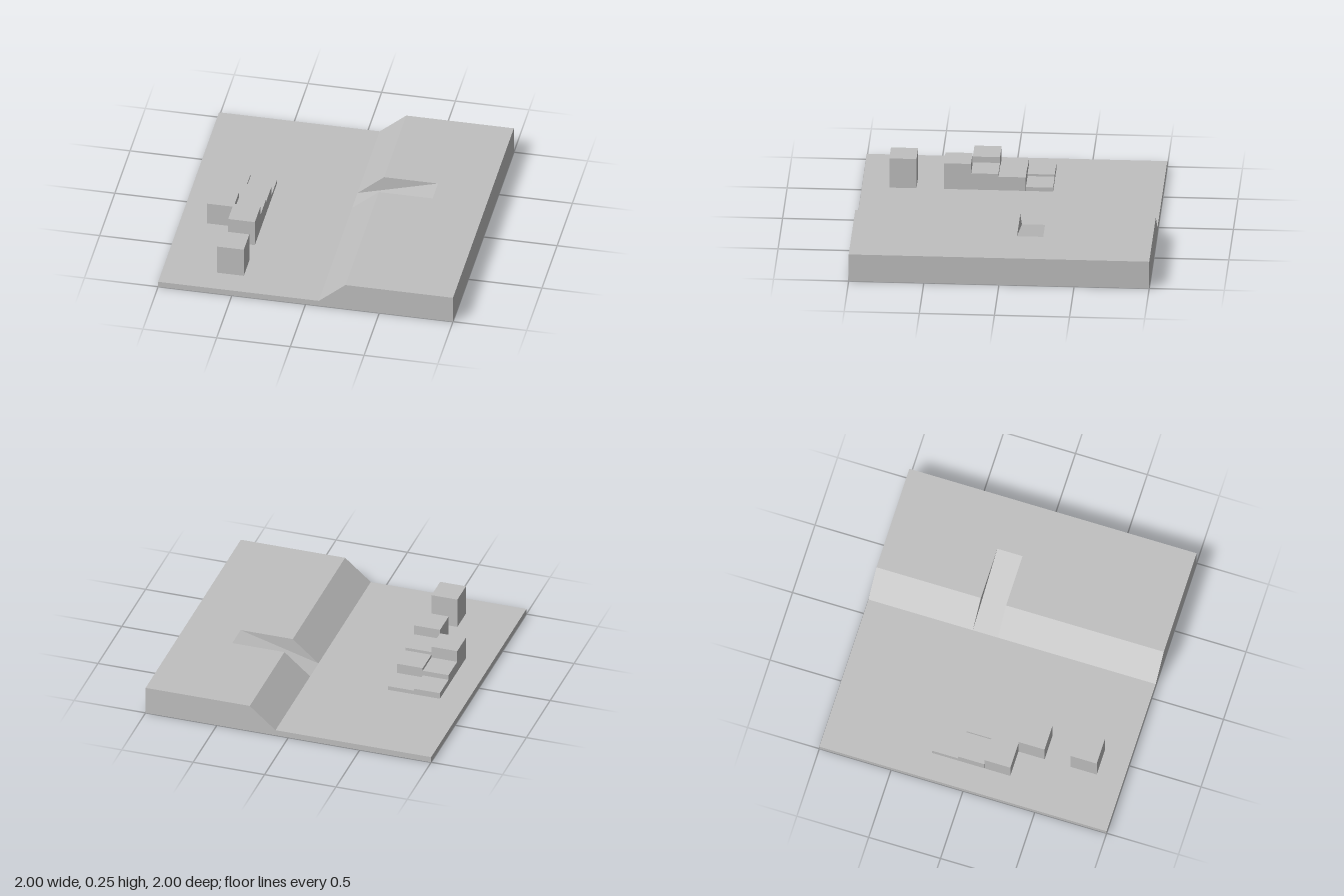
import * as THREE from 'three';

const GROUND = 0.04;
const PLATEAU = 0.194;

export function createModel() {
  const model = new THREE.Group();
  model.name = 'terrainBlock';
  const grey = new THREE.MeshStandardMaterial({ color: 0xc0c0c0 });
  grey.name = 'plain grey';

  // Terrain strip: a side profile swept from z0 to z1, rising from x = 0.09 to x = topX
  function addStrip(name, topX, z0, z1) {
    const profile = new THREE.Shape([
      [-1, 0], [1, 0], [1, PLATEAU], [topX, PLATEAU], [0.09, GROUND], [-1, GROUND],
    ].map(([x, y]) => new THREE.Vector2(x, y)));
    const geometry = new THREE.ExtrudeGeometry(profile, { depth: z1 - z0, bevelEnabled: false });
    geometry.translate(0, 0, z0);
    const mesh = new THREE.Mesh(geometry, grey);
    mesh.name = name;
    model.add(mesh);
  }
  addStrip('backBank', 0.27, -1, -0.273);
  addStrip('rampCut', 0.635, -0.273, -0.098); // gentle ramp sunk into the bank
  addStrip('frontBank', 0.27, -0.098, 1);

  // Stepped blocks on the low ground: [column x, row z, top height]
  const blocks = [
    [-0.728, -0.182, 0.083], [-0.728, 0, 0.118], [-0.728, 0.182, 0.2],
    [-0.547, -0.182, 0.068], [-0.547, 0, 0.138], [-0.547, 0.182, 0.158],
    [-0.547, 0.364, 0.226], [-0.547, 0.727, 0.252],
  ];
  const steps = new THREE.Group();
  steps.name = 'steppedBlocks';
  blocks.forEach(([x, z, top], i) => {
    const height = top - GROUND;
    const block = new THREE.Mesh(new THREE.BoxGeometry(0.181, height, 0.181), grey);
    block.position.set(x, GROUND + height / 2, z);
    block.name = `block${i + 1}`;
    steps.add(block);
  });
  model.add(steps);

  return model;
}
